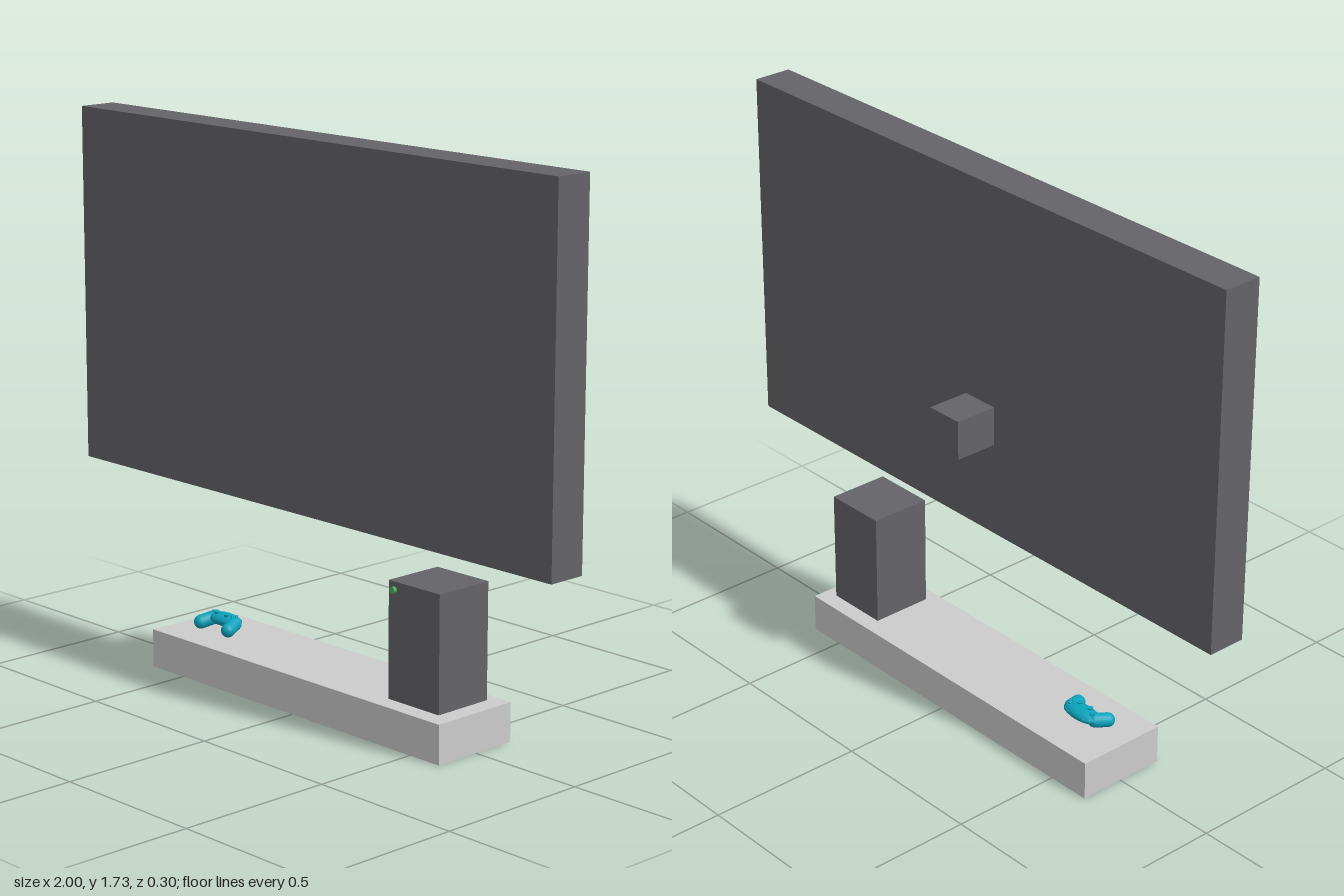
import * as THREE from 'three';

const DARK = 0x646468, TEAL = 0x0ca4bc, GREEN = 0x4fa860, GREY = 0xcccccc;

const material = (color) => new THREE.MeshStandardMaterial({ color });

function add(parent, name, geometry, color) {
  const mesh = new THREE.Mesh(geometry, material(color));
  mesh.name = name;
  parent.add(mesh);
  return mesh;
}

// Box given by its extents along each axis
function block(parent, name, [x0, x1], [y0, y1], [z0, z1], color) {
  const mesh = add(parent, name, new THREE.BoxGeometry(x1 - x0, y1 - y0, z1 - z0), color);
  mesh.position.set((x0 + x1) / 2, (y0 + y1) / 2, (z0 + z1) / 2);
  return mesh;
}

// Rounded bar between two points
function capsule(parent, name, from, to, radius, color) {
  const a = new THREE.Vector3(...from), b = new THREE.Vector3(...to);
  const dir = b.clone().sub(a);
  const mesh = add(parent, name, new THREE.CapsuleGeometry(radius, dir.length(), 8, 20), color);
  mesh.position.copy(a).add(b).multiplyScalar(0.5);
  mesh.quaternion.setFromUnitVectors(new THREE.Vector3(0, 1, 0), dir.normalize());
  return mesh;
}

function createController() {
  const pad = new THREE.Group();
  pad.name = 'gameController';

  // Flattened central body
  const body = add(pad, 'controllerBody', new THREE.SphereGeometry(1, 28, 18), TEAL);
  body.scale.set(0.07, 0.02, 0.034);
  body.position.set(0, 0.036, -0.004);

  for (const s of [-1, 1]) {
    // Grips sweep outward, forward and down
    capsule(pad, 'grip', [s * 0.05, 0.032, 0], [s * 0.064, 0.023, 0.04], 0.022, TEAL);
    // Thumb sticks
    const stick = add(pad, 'thumbStick', new THREE.CylinderGeometry(0.009, 0.007, 0.012, 16), TEAL);
    stick.position.set(s * 0.022, 0.053, 0.008);
    // Shoulder buttons
    capsule(pad, 'shoulderButton', [s * 0.03, 0.036, -0.03], [s * 0.05, 0.036, -0.022], 0.007, TEAL);
  }

  // Four face buttons and a directional cross
  for (let i = 0; i < 4; i++) {
    const a = (i * Math.PI) / 2;
    const button = add(pad, 'faceButton', new THREE.SphereGeometry(0.0045, 10, 8), TEAL);
    button.position.set(0.045 + 0.009 * Math.cos(a), 0.053, -0.004 + 0.009 * Math.sin(a));
  }
  for (const [w, d] of [[0.02, 0.006], [0.006, 0.02]]) {
    const bar = add(pad, 'directionPad', new THREE.BoxGeometry(w, 0.005, d), TEAL);
    bar.position.set(-0.045, 0.053, -0.004);
  }
  return pad;
}

export function createModel() {
  const model = new THREE.Group();
  model.name = 'televisionSetup';

  // Wall-hung television and its mount
  block(model, 'screen', [-1, 1], [0.61, 1.73], [-0.013, 0.111], DARK);
  block(model, 'wallMount', [-0.092, 0.032], [0.907, 1.031], [-0.152, -0.013], DARK);

  // Shelf with the console tower on top
  block(model, 'shelf', [-0.642, 0.617], [0, 0.122], [-0.144, 0.152], GREY);
  block(model, 'consoleTower', [0.362, 0.568], [0.127, 0.487], [-0.095, 0.104], DARK);

  // Power button on the tower front
  const button = add(model, 'powerButton', new THREE.CylinderGeometry(0.01, 0.01, 0.012, 24), GREEN);
  button.rotation.x = Math.PI / 2;
  button.position.set(0.385, 0.462, 0.109);

  const pad = createController();
  pad.position.set(-0.478, 0.123, 0);
  model.add(pad);

  return model;
}
